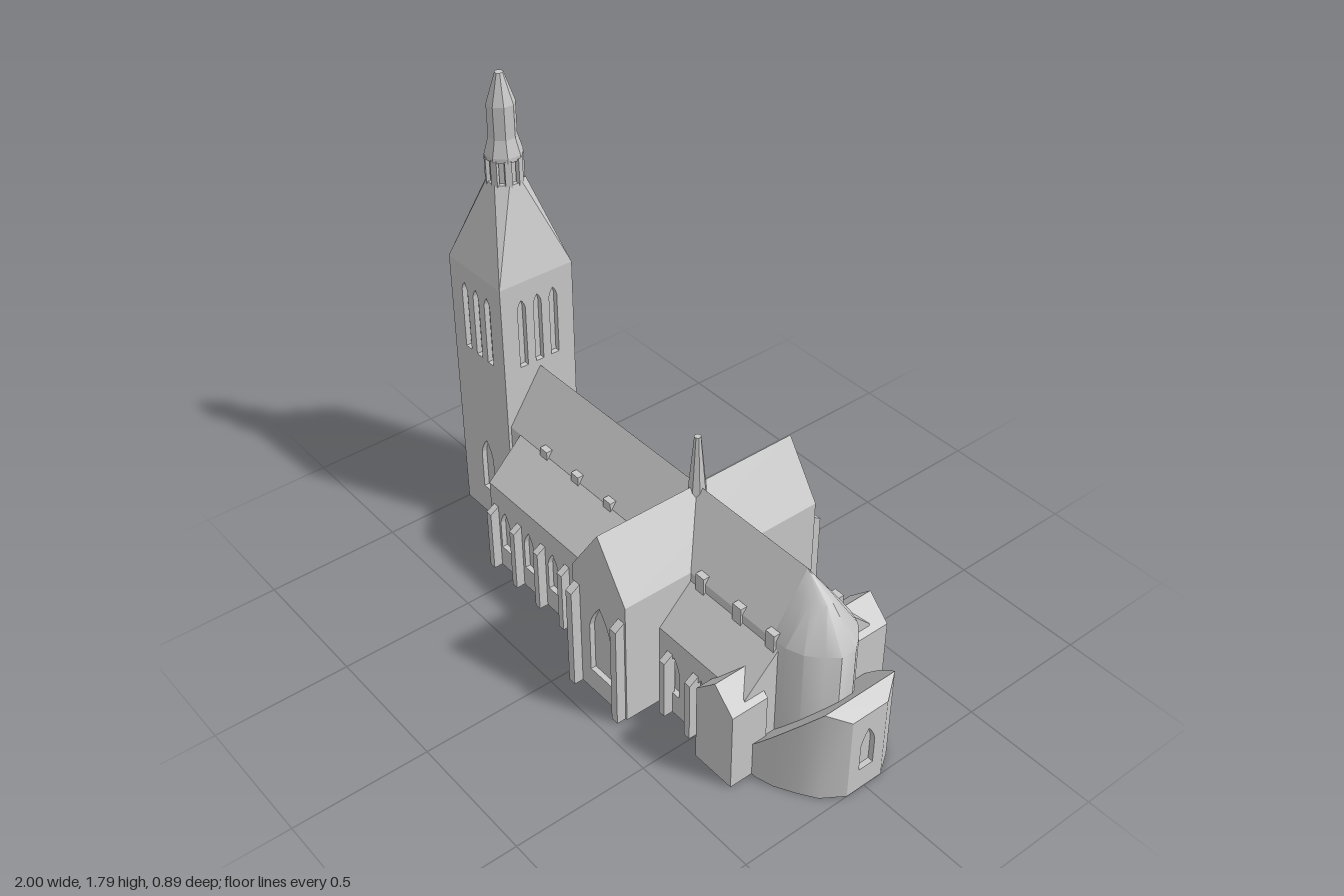
import * as THREE from 'three';
import { toCreasedNormals } from 'three/addons/utils/BufferGeometryUtils.js';
import { ConvexGeometry } from 'three/addons/geometries/ConvexGeometry.js';

const stone = new THREE.MeshStandardMaterial({ color: 0xc8c8c8 });
stone.name = 'stone';

const polygon = (pts) => new THREE.Shape(pts.map(([x, y]) => new THREE.Vector2(x, y)));
const rect = (x0, x1, y0, y1) => polygon([[x0, y0], [x1, y0], [x1, y1], [x0, y1]]);
// Symmetric outline from its right half, listed bottom to top
const symmetric = (half) => polygon([...half, ...half.filter(p => p[0] > 0).map(([x, y]) => [-x, y]).reverse()]);

// Pointed-arch opening
function lancet(c, w, y0, y1, rise = w) {
  const h = w / 2, spring = y1 - rise;
  const p = new THREE.Path();
  p.moveTo(c - h, y0);
  p.lineTo(c + h, y0);
  p.lineTo(c + h, spring);
  p.quadraticCurveTo(c + h * 0.8, spring + rise * 0.5, c, y1);
  p.quadraticCurveTo(c - h * 0.8, spring + rise * 0.5, c - h, spring);
  p.closePath();
  return p;
}

function extrudeZ(shape, z0, z1) {
  const g = new THREE.ExtrudeGeometry(shape, { depth: z1 - z0, bevelEnabled: false, curveSegments: 4 });
  return g.translate(0, 0, z0);
}

// Shape is drawn in (-z, y) and extruded along x
function extrudeX(shape, x0, x1) {
  return extrudeZ(shape, 0, x1 - x0).rotateY(Math.PI / 2).translate(x0, 0, 0);
}

// Solid whose half plan runs from +z round the east end; levels give [y(x), xScale, zScale]
function apseGeometry(half, x0, levels, skipEast) {
  const plan = [...half, ...half.map(([x, z]) => [x, -z]).reverse()];
  const n = plan.length, pos = [];
  const at = (l, i) => {
    const [x, z] = plan[i], [y, sx, sz] = levels[l];
    return [x0 + (x - x0) * sx, y(x), z * sz];
  };
  const quad = (a, b, c, d) => pos.push(...a, ...b, ...c, ...a, ...c, ...d);
  for (let l = 0; l < levels.length - 1; l++)
    for (let i = 0; i < n - 1; i++)
      if (!(skipEast && i === n / 2 - 1)) quad(at(l, i), at(l, i + 1), at(l + 1, i + 1), at(l + 1, i));
  const top = levels.length - 1;
  for (let i = 0; i < n / 2 - 1; i++) {
    const j = n - 1 - i;
    quad(at(top, i), at(top, i + 1), at(top, j - 1), at(top, j));
    quad(at(0, j), at(0, j - 1), at(0, i + 1), at(0, i));
  }
  const g = new THREE.BufferGeometry();
  g.setAttribute('position', new THREE.Float32BufferAttribute(pos, 3));
  g.computeVertexNormals();
  return toCreasedNormals(g, Math.PI / 5);
}

// Faceted eight-sided drum with a flat side facing front
function drum(rTop, rBottom, y0, y1, x) {
  const g = new THREE.CylinderGeometry(rTop, rBottom, y1 - y0, 8).rotateY(Math.PI / 8).toNonIndexed();
  g.computeVertexNormals();
  return g.translate(x, (y0 + y1) / 2, 0);
}

export function createModel() {
  const model = new THREE.Group();
  model.name = 'church';
  const add = (name, g) => {
    const m = new THREE.Mesh(g, stone);
    m.name = name;
    model.add(m);
  };
  const box = (name, x0, x1, y0, y1, z0, z1) =>
    add(name, new THREE.BoxGeometry(x1 - x0, y1 - y0, z1 - z0)
      .translate((x0 + x1) / 2, (y0 + y1) / 2, (z0 + z1) / 2));
  // Wall skin with openings, set on the front or back face
  const wallZ = (name, shape, s, zOut, t = 0.02) =>
    add(name, extrudeZ(shape, s > 0 ? zOut - t : -zOut, s > 0 ? zOut : t - zOut));
  const buttress = (x, w, s, z0, z1, h) =>
    add('buttress', extrudeX(polygon([[z0, 0], [z1, 0], [z1, h - 0.03], [z0, h]].map(([z, y]) => [-s * z, y])),
      x - w / 2, x + w / 2));

  // Tower: core with pierced wall skins
  const tx = -0.848, th = 0.152, tTop = 1.08, t = 0.02;
  box('towerCore', tx - th + t, tx + th - t, 0, tTop, -th + t, th - t);
  const towerWall = (c, half, door) => {
    const s = rect(c - half, c + half, 0, tTop);
    for (const d of [-0.067, 0, 0.067]) s.holes.push(lancet(c + d, 0.033, 0.735, 1.01, 0.035));
    if (door) s.holes.push(lancet(c, 0.072, 0.12, 0.355, 0.075));
    return s;
  };
  for (const s of [1, -1]) {
    wallZ('towerWall', towerWall(tx, th, true), s, th);
    const x0 = s > 0 ? tx + th - t : tx - th;
    add('towerSideWall', extrudeX(towerWall(0, th - t, s < 0), x0, x0 + t));
  }

  // Spire: square turning to octagon, then lantern and cap
  const spire = [];
  for (const a of [-1, 1]) for (const b of [-1, 1]) spire.push(new THREE.Vector3(tx + a * th, tTop, b * th));
  for (let i = 0; i < 8; i++) {
    const a = (i + 0.5) * Math.PI / 4;
    spire.push(new THREE.Vector3(tx + Math.cos(a) * 0.067, 1.4, Math.sin(a) * 0.067));
    const post = new THREE.BoxGeometry(0.014, 0.1, 0.024).rotateY(-a);
    add('lanternPost', post.translate(tx + Math.cos(a) * 0.059, 1.44, Math.sin(a) * 0.059));
  }
  add('spire', new ConvexGeometry(spire));
  add('lanternCore', drum(0.05, 0.05, 1.39, 1.5, tx));
  add('lanternBand', drum(0.067, 0.067, 1.483, 1.5, tx));
  add('capSkirt', drum(0.05, 0.067, 1.5, 1.56, tx));
  add('capShaft', drum(0.05, 0.05, 1.56, 1.68, tx));
  add('capTip', drum(0.015, 0.05, 1.68, 1.787, tx));

  // Main vessel running from tower to apse
  add('vessel', extrudeX(symmetric([[0.14, 0], [0.14, 0.5], [0, 0.71]]), -0.71, 0.69));
  add('apse', apseGeometry(
    [[0.69, 0.14], [0.75, 0.137], [0.81, 0.115], [0.86, 0.07], [0.89, 0.03]], 0.69,
    [[() => 0, 1, 1], [() => 0.5, 1, 1], [() => 0.635, 0.52, 0.36], [() => 0.71, 0, 0]]));

  // Aisles of nave and choir
  const aisle = (name, x0, x1, z, eave, zTop, yTop, windows, w, y1) => {
    const lip = eave - 0.01;
    add(name, extrudeX(symmetric([[z - t, 0], [z - t, lip], [z, lip], [z, eave], [zTop, yTop]]), x0, x1));
    for (const s of [1, -1]) {
      const wall = rect(x0, x1, 0, lip);
      for (const c of windows) wall.holes.push(lancet(c, w, 0.09, y1, 0.06));
      wallZ(name + 'Wall', wall, s, z);
    }
  };
  aisle('naveAisle', -0.64, 0.03, 0.283, 0.355, 0.139, 0.499, [-0.555, -0.412, -0.27, -0.13, -0.007], 0.058, 0.265);
  aisle('choirAisle', 0.29, 0.72, 0.27, 0.335, 0.135, 0.47, [0.375, 0.51], 0.055, 0.255);

  // Transept
  const gable = [[0.025, 0], [0.302, 0], [0.302, 0.5], [0.1635, 0.71], [0.025, 0.5]];
  add('transept', extrudeZ(polygon(gable), -0.39, 0.39));

  for (const s of [1, -1]) {
    const end = polygon(gable);
    end.holes.push(lancet(0.165, 0.11, 0.09, 0.4, 0.11));
    wallZ('transeptGable', end, s, 0.41);
    for (const x of [0.046, 0.28]) buttress(x, 0.03, s, 0.4, 0.445, 0.44);
    for (let i = 0; i < 5; i++) buttress(-0.607 + i * 0.14, 0.026, s, 0.27, 0.317, 0.28);
    for (const x of [0.355, 0.484]) buttress(x, 0.026, s, 0.26, 0.305, 0.27);

    // Small roof blocks
    const span = (a, b) => (s > 0 ? [a, b] : [-b, -a]);
    for (const x of [-0.49, -0.31, -0.13]) box('roofBlock', x - 0.02, x + 0.02, 0.48, 0.525, ...span(0.11, 0.148));
    for (const x of [0.355, 0.535, 0.69]) box('choirRoofBlock', x - 0.02, x + 0.02, 0.455, 0.525, ...span(0.11, 0.148));

    // Gabled side chapel
    add('sideChapel', extrudeZ(
      polygon([[0.565, 0], [0.738, 0], [0.738, 0.31], [0.6515, 0.395], [0.565, 0.31]]), ...span(0.19, 0.335)));
  }

  // Crossing spirelet
  add('crossingSpirelet', drum(0.012, 0.037, 0.64, 0.905, 0.1635));

  // Rounded east chapel with a roof rising eastward to a crest
  const crest = (x) => (x <= 0.95 ? 0.375 - 1.12 * (0.95 - x) : 0.375 - 0.9 * (x - 0.95));
  add('eastChapel', apseGeometry(
    [[0.7, 0.247], [0.76, 0.245], [0.82, 0.228], [0.89, 0.19], [0.95, 0.15], [1, 0.075]], 0.7,
    [[() => 0, 1, 1], [crest, 1, 1]], true));
  const eastWall = rect(-0.075, 0.075, 0, 0.33);
  eastWall.holes.push(lancet(0, 0.06, 0.09, 0.26, 0.065));
  add('eastWall', extrudeX(eastWall, 0.98, 1));
  box('eastWallBacking', 0.95, 0.98, 0, 0.325, -0.075, 0.075);

  return model;
}
